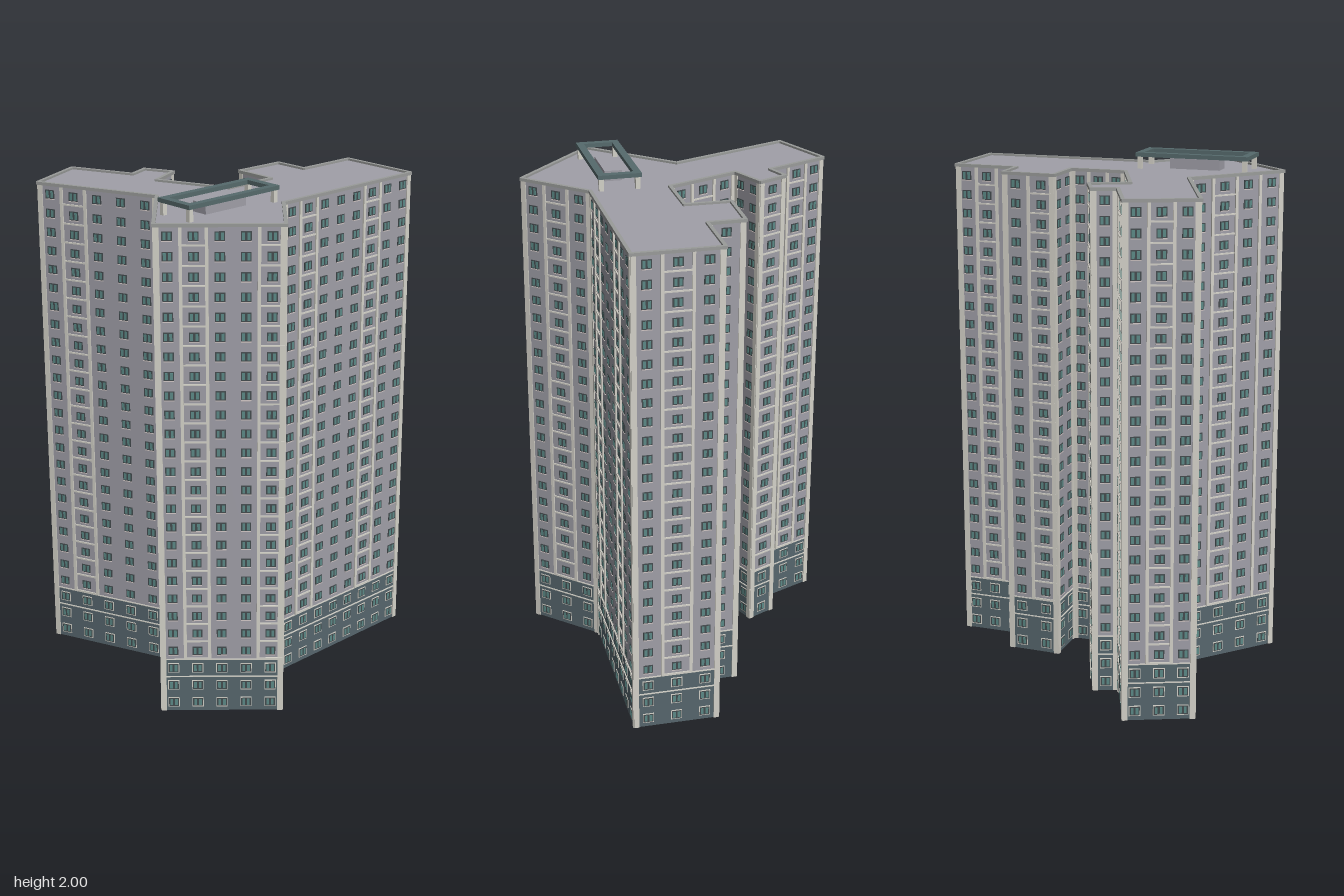
import * as THREE from 'three';
import { mergeGeometries } from 'three/addons/utils/BufferGeometryUtils.js';

const FLOORS = 26, BASE_FLOORS = 3, ROOF = 1.937, H = ROOF / FLOORS;

// Footprint corner (x, z) and the facade of the edge that starts there, read
// left to right from outside: w = window bay, l = banded bay, | = pilaster.
const PLAN = [
  [-0.70, -0.37, 'w|l|w'],
  [-0.51, -0.56, 'w|l|w'],
  [-0.32, -0.37, 'w'],
  [-0.25, -0.435, 'l'],
  [-0.16, -0.35, 'ww'],
  [-0.265, -0.24, 'w|l|w'],
  [-0.05, -0.02, 'w|l|w'],
  [0.155, -0.105, 'ww'],
  [0.09, -0.27, 'w|l'],
  [0.285, -0.345, 'w'],
  [0.34, -0.215, 'w|l|w'],
  [0.575, -0.31, 'w|l|w'],
  [0.70, 0, 'w|l|www|l|ww'],
  [0.055, 0.265, 'w|l|w'],
  [-0.055, 0.555, 'w|l|ww|l'],
  [-0.49, 0.39, 'w|l|w|w'],
  [-0.345, 0, 'w|l|www'],
];

function material(name, color) {
  const m = new THREE.MeshStandardMaterial({ color });
  m.name = name;
  return m;
}

function box(w, h, d, x, y, z) {
  return new THREE.BoxGeometry(w, h, d).translate(x, y, z);
}

// Solid storey block between two heights (group 0 = caps, group 1 = walls)
function block(y0, y1) {
  const shape = new THREE.Shape(PLAN.map(([x, z]) => new THREE.Vector2(x, -z)));
  return new THREE.ExtrudeGeometry(shape, { depth: y1 - y0, bevelEnabled: false })
    .rotateX(-Math.PI / 2).translate(0, y0, 0);
}

// One window bay on one floor, u = bay centre along the wall
function addBay(parts, u, width, floor, banded) {
  const y = (floor + 0.5) * H, base = floor < BASE_FLOORS;
  const w = Math.min(width * 0.5, 0.038), h = 0.034;
  if (base) parts.trim.push(box(w + 0.006, h + 0.007, 0.004, u, y, 0));
  parts.frames.push(box(w, h, 0.006, u, y, 0));
  for (const s of [-1, 1]) {
    parts.glass.push(box(w * 0.28, h * 0.78, 0.008, u + s * w * 0.24, y, 0));
  }
  if (!base) {
    parts.sills.push(box(w, 0.003, 0.009, u, y - h / 2 - 0.002, 0));
    if (banded) parts.trim.push(box(width, 0.006, 0.009, u, floor * H + 0.004, 0));
  }
}

function buildWall(parts, a, b) {
  const length = Math.hypot(b[0] - a[0], b[1] - a[1]);
  const pattern = a[2], bays = pattern.replaceAll('|', '').length;
  const width = length / bays, baseTop = BASE_FLOORS * H;
  const local = { trim: [], frames: [], glass: [], sills: [], parapet: [] };

  // Bays and intermediate pilasters
  let u = 0;
  for (const c of pattern) {
    if (c === '|') {
      local.trim.push(box(0.012, ROOF - baseTop, 0.012, u, (ROOF + baseTop) / 2, 0));
      continue;
    }
    for (let f = 0; f < FLOORS; f++) addBay(local, u + width / 2, width, f, c === 'l');
    u += width;
  }
  // Corner pilasters, base string courses and parapet
  for (const x of [0.009, length - 0.009]) {
    local.trim.push(box(0.02, ROOF, 0.008, x, ROOF / 2, 0));
  }
  for (const f of [2, 3]) local.trim.push(box(length, 0.004, 0.008, length / 2, f * H, 0));
  local.parapet.push(box(length + 0.008, 0.012, 0.014, length / 2, ROOF + 0.002, 0));

  // Place the wall: local x runs from b to a, local z faces outward
  const angle = Math.atan2(b[1] - a[1], a[0] - b[0]);
  const matrix = new THREE.Matrix4().makeRotationY(angle).setPosition(b[0], 0, b[1]);
  for (const key in local) {
    for (const g of local[key]) parts[key].push(g.applyMatrix4(matrix));
  }
}

export function createModel() {
  const mats = {
    wall: material('mauve grey wall', 0xa09fa8),
    base: material('slate base', 0x56666d),
    trim: material('pale stone trim', 0xd4d2c9),
    frames: material('dark window frame', 0x444c4f),
    glass: material('teal glass', 0x5c8a87),
    sills: material('pale sill', 0xc9bfbe),
    parapet: material('parapet grey', 0x9a9c9a),
    crown: material('crown slate green', 0x566a6c),
  };
  const model = new THREE.Group();
  model.name = 'towerBlock';
  const add = (parent, name, geometry, mat) => {
    const mesh = new THREE.Mesh(geometry, mat);
    mesh.name = name;
    parent.add(mesh);
  };

  // Main masses
  add(model, 'baseStoreys', block(0, BASE_FLOORS * H), [mats.wall, mats.base]);
  add(model, 'upperStoreys', block(BASE_FLOORS * H, ROOF), mats.wall);

  // Facade details, merged by colour
  const parts = { trim: [], frames: [], glass: [], sills: [], parapet: [] };
  PLAN.forEach((a, i) => buildWall(parts, a, PLAN[(i + 1) % PLAN.length]));
  const names = {
    trim: 'pilastersAndBands', frames: 'windowFrames', glass: 'windowPanes',
    sills: 'windowSills', parapet: 'parapet',
  };
  for (const key in parts) add(model, names[key], mergeGeometries(parts[key]), mats[key]);

  // Rooftop plant room under an open rectangular frame on posts
  const crown = new THREE.Group();
  crown.name = 'roofCrown';
  crown.position.set(-0.187, ROOF, 0.243);
  crown.rotation.y = 0.39;
  const L = 0.445, D = 0.168, T = 0.028, top = 2 - ROOF;
  const beams = [], posts = [];
  for (const s of [-1, 1]) {
    beams.push(box(L, 0.016, T, 0, top - 0.008, s * (D - T) / 2));
    beams.push(box(T, 0.016, D - 2 * T, s * (L - T) / 2, top - 0.008, 0));
    for (const t of [-1, 1]) {
      posts.push(box(0.018, top - 0.016, 0.018, s * (L - T) / 2, (top - 0.016) / 2, t * (D - T) / 2));
    }
  }
  add(crown, 'crownFrame', mergeGeometries(beams), mats.crown);
  add(crown, 'crownPosts', mergeGeometries(posts), mats.trim);
  add(crown, 'plantRoom', box(0.198, 0.04, 0.068, 0, 0.02, 0), mats.wall);
  model.add(crown);

  return model;
}
